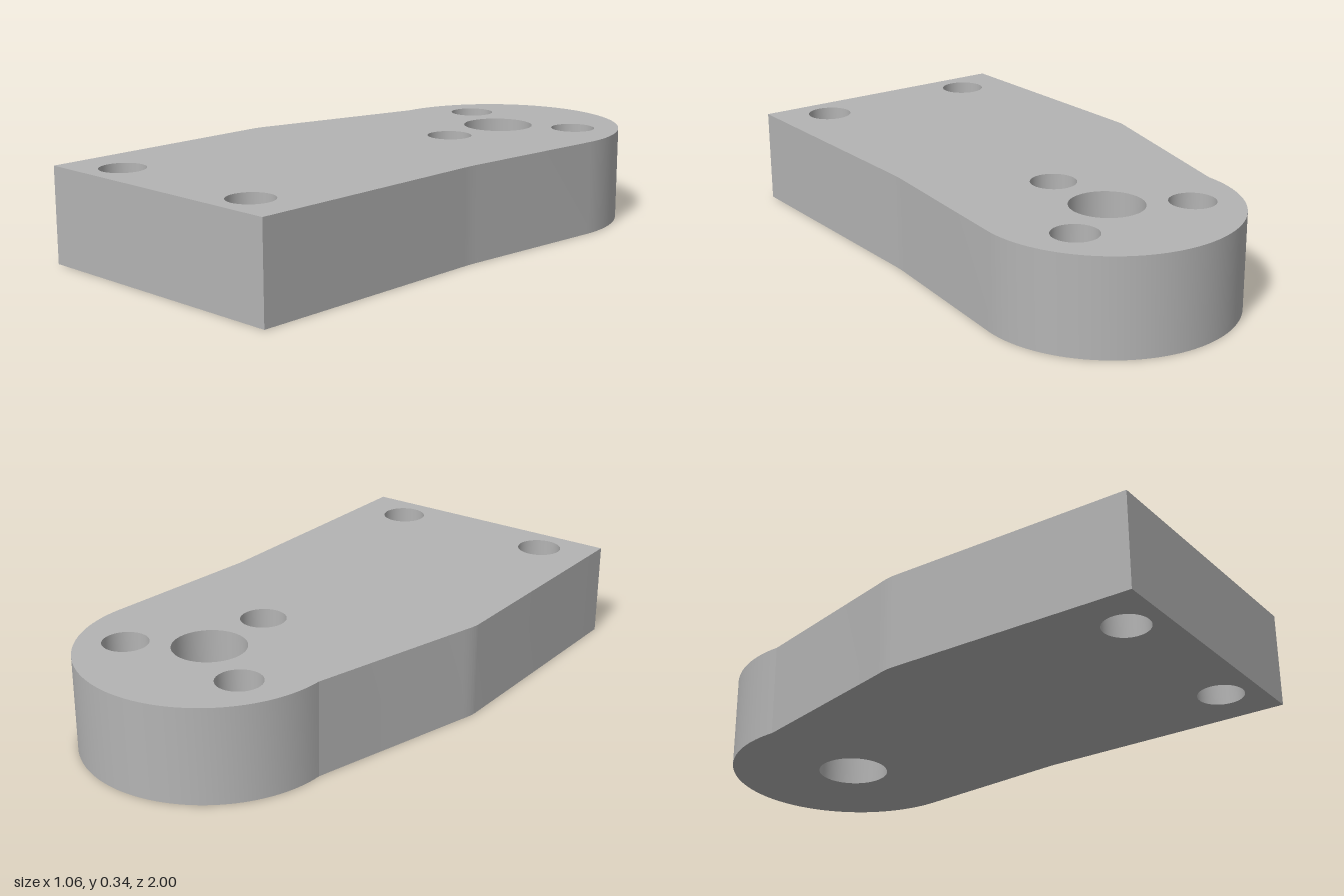
import * as THREE from 'three';
import { toCreasedNormals } from 'three/addons/utils/BufferGeometryUtils.js';

const H = 0.335; // plate thickness
const HEAD = { x: 0.083, z: -0.555, r: 0.445 };
const POCKET_DEPTH = 0.22;

const through = [
  { name: 'centreBore', x: HEAD.x, z: HEAD.z, r: 0.126 },
  { name: 'mountHoleRight', x: -0.337, z: 0.868, r: 0.079 },
  { name: 'mountHoleLeft', x: 0.28, z: 0.868, r: 0.079 },
];
// three blind holes evenly spaced about the bore
const blind = [0, 1, 2].map((i) => {
  const a = (i * Math.PI * 2) / 3;
  return {
    name: 'blindHole' + (i + 1),
    x: HEAD.x + 0.279 * Math.sin(a),
    z: HEAD.z + 0.279 * Math.cos(a),
    r: 0.079,
  };
});

// plate outline, drawn with shape y = -z
function outline(holes) {
  const s = new THREE.Shape();
  s.moveTo(-0.53, -1);
  s.lineTo(0.474, -1);
  s.lineTo(0.474, -0.1);
  s.quadraticCurveTo(0.474, -0.07, 0.477, -0.04);
  s.absarc(HEAD.x, -HEAD.z, HEAD.r, -0.08, Math.PI, false);
  s.lineTo(-0.516, -0.045);
  s.quadraticCurveTo(-0.53, -0.09, -0.53, -0.12);
  s.closePath();
  for (const h of holes) {
    const p = new THREE.Path();
    p.absarc(h.x, -h.z, h.r, 0, Math.PI * 2, true);
    s.holes.push(p);
  }
  return s;
}

function cap(holes, y, faceDown) {
  const g = new THREE.ShapeGeometry(outline(holes), 32).rotateX(-Math.PI / 2);
  g.translate(0, y, 0);
  if (faceDown) {
    g.index.array.reverse();
    g.computeVertexNormals();
  }
  return g;
}

// outer rim: only the side faces of an extrusion
function rim() {
  const e = new THREE.ExtrudeGeometry(outline([]), { depth: H, bevelEnabled: false, curveSegments: 32 });
  const start = e.groups[1].start * 3;
  const g = new THREE.BufferGeometry();
  g.setAttribute('position', new THREE.BufferAttribute(e.attributes.position.array.slice(start), 3));
  g.rotateX(-Math.PI / 2);
  return toCreasedNormals(g, 0.2);
}

export function createModel() {
  const grey = new THREE.MeshStandardMaterial({ color: 0xb4b4b4 });
  grey.name = 'grey metal';
  const model = new THREE.Group();
  model.name = 'mountingPlate';

  function add(name, geometry, x = 0, y = 0, z = 0) {
    const m = new THREE.Mesh(geometry, grey);
    m.name = name;
    m.position.set(x, y, z);
    model.add(m);
  }

  add('topFace', cap([...through, ...blind], H, false));
  add('bottomFace', cap(through, 0, true));
  add('rim', rim());

  // hole walls: profile runs downward so the surface faces inward
  const bore = (r, depth) =>
    new THREE.LatheGeometry([new THREE.Vector2(r, H), new THREE.Vector2(r, H - depth)], 64);
  for (const h of through) add(h.name, bore(h.r, H), h.x, 0, h.z);
  for (const h of blind) {
    add(h.name, bore(h.r, POCKET_DEPTH), h.x, 0, h.z);
    add(h.name + 'Floor', new THREE.CircleGeometry(h.r, 64).rotateX(-Math.PI / 2), h.x, H - POCKET_DEPTH, h.z);
  }
  return model;
}
